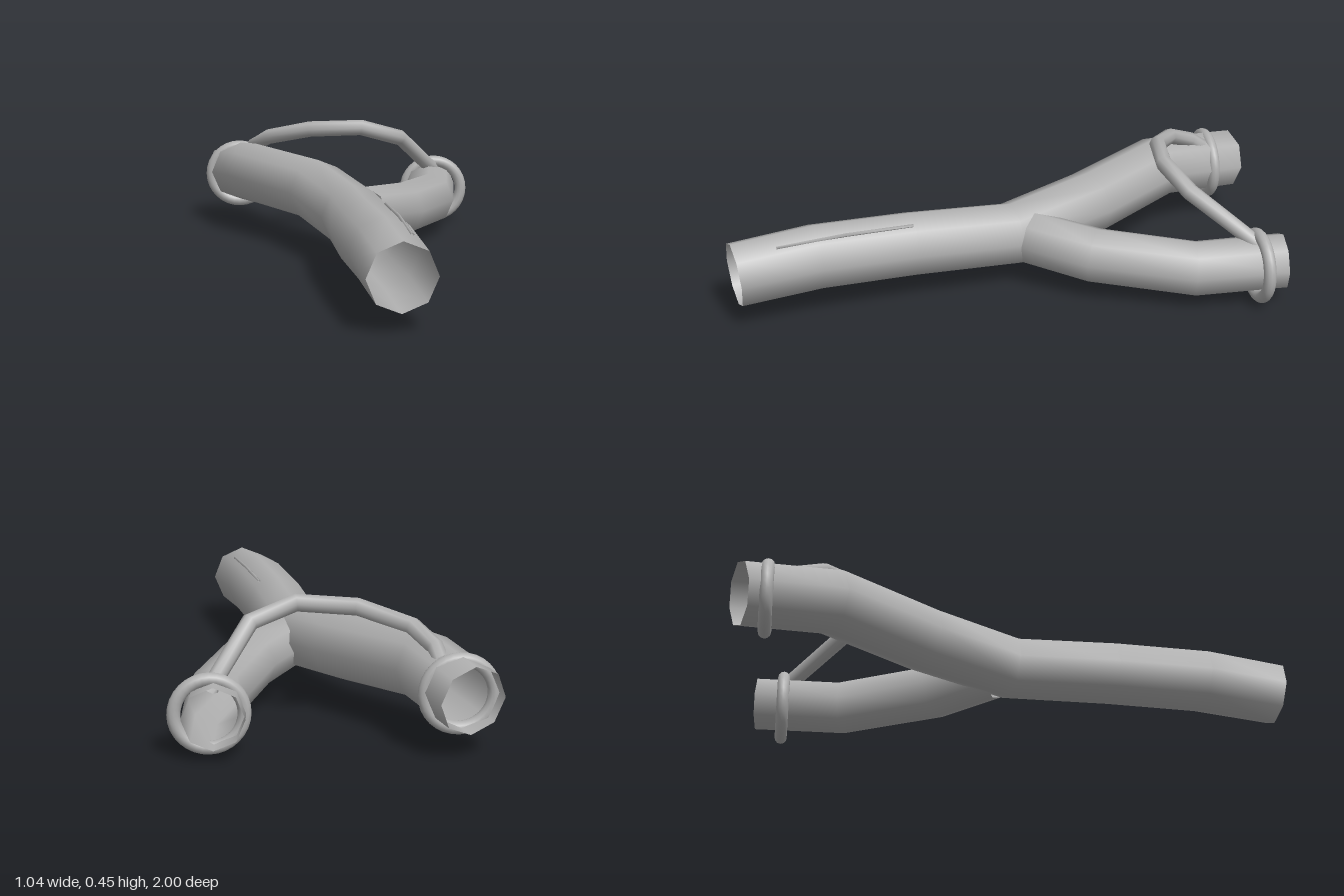
import * as THREE from 'three';

const wood = new THREE.MeshStandardMaterial({ color: 0xb0b0b0, side: THREE.DoubleSide });
wood.name = 'plain grey';

// Open tube through straight segments; each point is [x, y, z, radius]
function limb(name, points, sides) {
  const pts = points.map((p) => new THREE.Vector3(p[0], p[1], p[2]));
  const pos = [];
  const idx = [];
  const n = pts.length;
  const up = new THREE.Vector3(0, 1, 0);
  for (let i = 0; i < n; i++) {
    const t = new THREE.Vector3();
    if (i > 0) t.add(pts[i].clone().sub(pts[i - 1]).normalize());
    if (i < n - 1) t.add(pts[i + 1].clone().sub(pts[i]).normalize());
    t.normalize();
    const side = t.clone().cross(up).normalize();
    const lift = side.clone().cross(t).normalize();
    for (let j = 0; j < sides; j++) {
      const a = (j / sides) * Math.PI * 2;
      const v = pts[i].clone()
        .addScaledVector(side, Math.cos(a) * points[i][3])
        .addScaledVector(lift, Math.sin(a) * points[i][3]);
      pos.push(v.x, v.y, v.z);
      if (i < n - 1) {
        const k = (j + 1) % sides;
        const r0 = i * sides;
        const r1 = r0 + sides;
        idx.push(r0 + j, r1 + j, r0 + k, r0 + k, r1 + j, r1 + k);
      }
    }
  }
  const geo = new THREE.BufferGeometry();
  geo.setAttribute('position', new THREE.Float32BufferAttribute(pos, 3));
  geo.setIndex(idx);
  geo.computeVertexNormals();
  const mesh = new THREE.Mesh(geo, wood);
  mesh.name = name;
  return mesh;
}

export function createModel() {
  const group = new THREE.Group();
  group.name = 'slingshot';

  // Handle continuing into the right fork
  group.add(limb('handleAndRightFork', [
    [0.115, 0.175, 0.983, 0.115],
    [0.08, 0.195, 0.7, 0.118],
    [0.042, 0.187, 0.36, 0.117],
    [0.02, 0.175, -0.01, 0.115],
    [-0.095, 0.213, -0.33, 0.117],
    [-0.32, 0.225, -0.66, 0.117],
    [-0.412, 0.19, -0.967, 0.113],
  ], 8));

  // Left fork branching from the handle
  group.add(limb('leftFork', [
    [0.065, 0.172, -0.075, 0.097],
    [0.21, 0.15, -0.265, 0.1],
    [0.35, 0.128, -0.59, 0.1],
    [0.385, 0.14, -0.898, 0.1],
  ], 8));

  // Elastic band slung between the forks
  group.add(limb('elasticBand', [
    [-0.335, 0.285, -0.84, 0.028],
    [-0.325, 0.32, -0.79, 0.028],
    [-0.27, 0.365, -0.69, 0.029],
    [-0.11, 0.408, -0.59, 0.03],
    [0.085, 0.418, -0.55, 0.03],
    [0.24, 0.37, -0.597, 0.03],
    [0.385, 0.215, -0.8, 0.028],
  ], 8));

  // Tie rings around the fork tips
  for (const [name, x, y, z] of [
    ['rightTieRing', -0.387, 0.19, -0.878],
    ['leftTieRing', 0.39, 0.133, -0.807],
  ]) {
    const ring = new THREE.Mesh(new THREE.TorusGeometry(0.111, 0.022, 12, 32), wood);
    ring.name = name;
    ring.position.set(x, y, z);
    group.add(ring);
  }

  // Thin carved strip along the top of the handle
  group.add(limb('handleStrip', [
    [0.11, 0.288, 0.36, 0.006],
    [0.136, 0.291, 0.6, 0.007],
    [0.157, 0.279, 0.84, 0.006],
  ], 4));

  return group;
}
